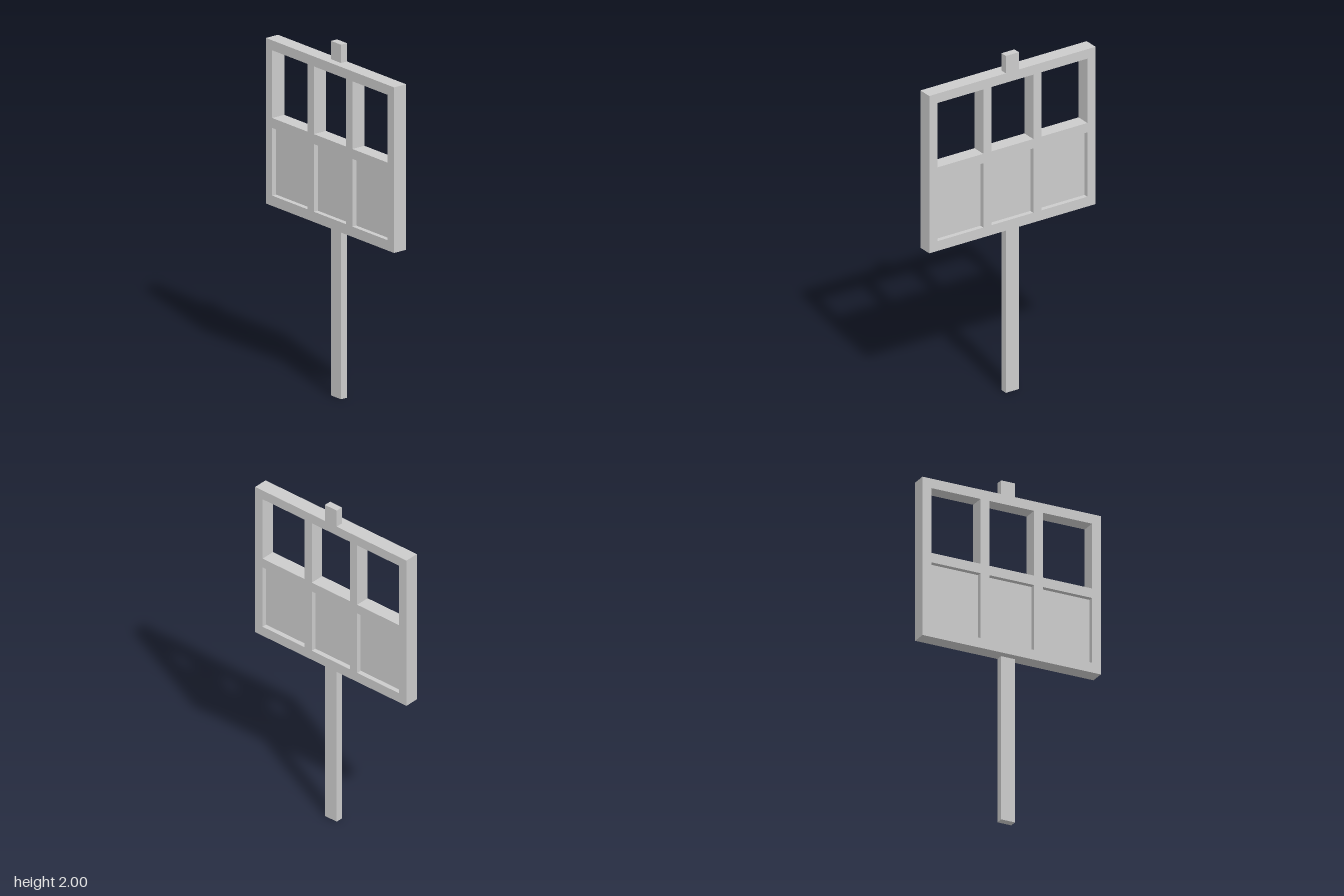
import * as THREE from 'three';

export function createModel() {
  const group = new THREE.Group();
  const material = new THREE.MeshStandardMaterial({ color: 0xcccccc, flatShading: true });
  const add = (name, geometry, x, y, z) => {
    const mesh = new THREE.Mesh(geometry, material);
    mesh.name = name;
    mesh.position.set(x, y, z);
    group.add(mesh);
  };

  const half = 0.538, bottom = 0.963, top = 1.897, thick = 0.084, panelThick = 0.028;
  const columns = [[-0.485, -0.188], [-0.135, 0.135], [0.188, 0.485]];
  const rows = [[1.021, 1.403], [1.459, 1.841]];

  // Closed rectangle, drawn across the board's width and height
  const rectangle = (path, a, b, c, d) =>
    path.moveTo(a, c).lineTo(b, c).lineTo(b, d).lineTo(a, d).closePath();

  // Board frame with six openings
  const outline = rectangle(new THREE.Shape(), -half, half, bottom, top);
  for (const [a, b] of columns)
    for (const [c, d] of rows) outline.holes.push(rectangle(new THREE.Path(), a, b, c, d));
  const frame = new THREE.ExtrudeGeometry(outline, { depth: thick, bevelEnabled: false });
  frame.translate(0, 0, -thick / 2).rotateY(Math.PI / 2);
  add('boardFrame', frame, 0, 0, 0);

  // Recessed panels closing the lower row
  const [low, high] = rows[0];
  for (const [a, b] of columns)
    add('lowerPanel', new THREE.BoxGeometry(panelThick, high - low, b - a), 0, (low + high) / 2, (a + b) / 2);

  // Post below the board and its stub above, flush with the +x face
  const post = (name, y0, y1) =>
    add(name, new THREE.BoxGeometry(thick / 2, y1 - y0, thick), thick / 4, (y0 + y1) / 2, 0);
  post('post', 0, bottom);
  post('postTop', top, 2);

  return group;
}
